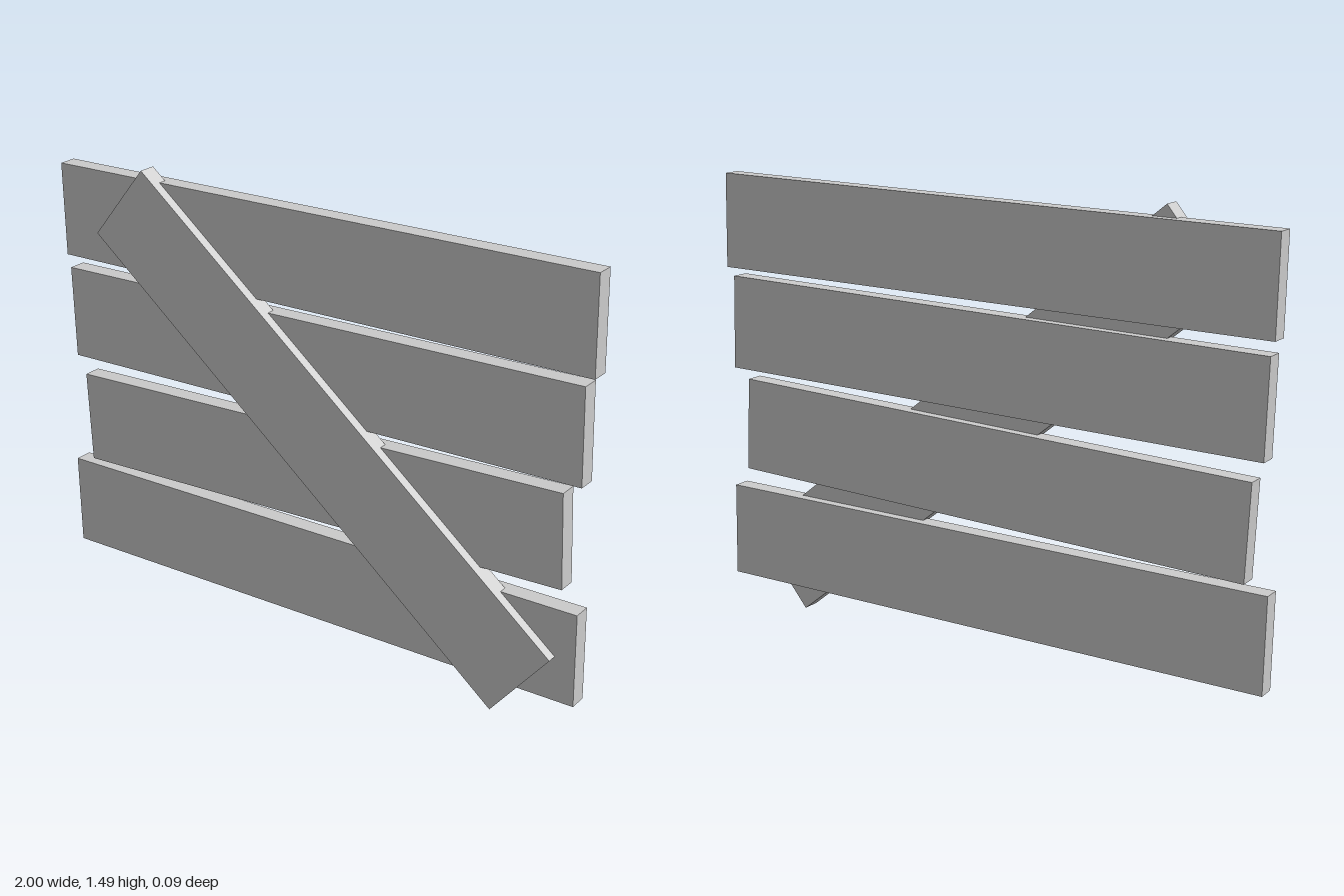
import * as THREE from 'three';

const HEIGHT = 0.316, DEPTH = 0.06;

export function createModel() {
  const group = new THREE.Group();
  const material = new THREE.MeshStandardMaterial({ color: 0xcccccc, flatShading: true });

  // One flat board, tilted in the plane of the panel
  function board(name, length, x, y, z, tilt) {
    const mesh = new THREE.Mesh(new THREE.BoxGeometry(length, HEIGHT, DEPTH), material);
    mesh.name = name;
    mesh.position.set(x, y, z);
    mesh.rotation.z = tilt;
    group.add(mesh);
  }

  // Four slightly crooked horizontal planks: length, centre height, tilt
  [
    [1.99, 0.235, 0.0203],
    [1.858, 0.596, 0.0463],
    [1.95, 0.96, 0.029],
    [1.99, 1.312, 0.0203],
  ].forEach(([length, y, tilt], i) => board(`plank${i + 1}`, length, 0, y, -0.015, tilt));

  // Diagonal brace, sunk halfway into the front of the planks
  board('diagonalBrace', 1.99, 0.0515, 0.75, 0.0175, -0.678);

  return group;
}
